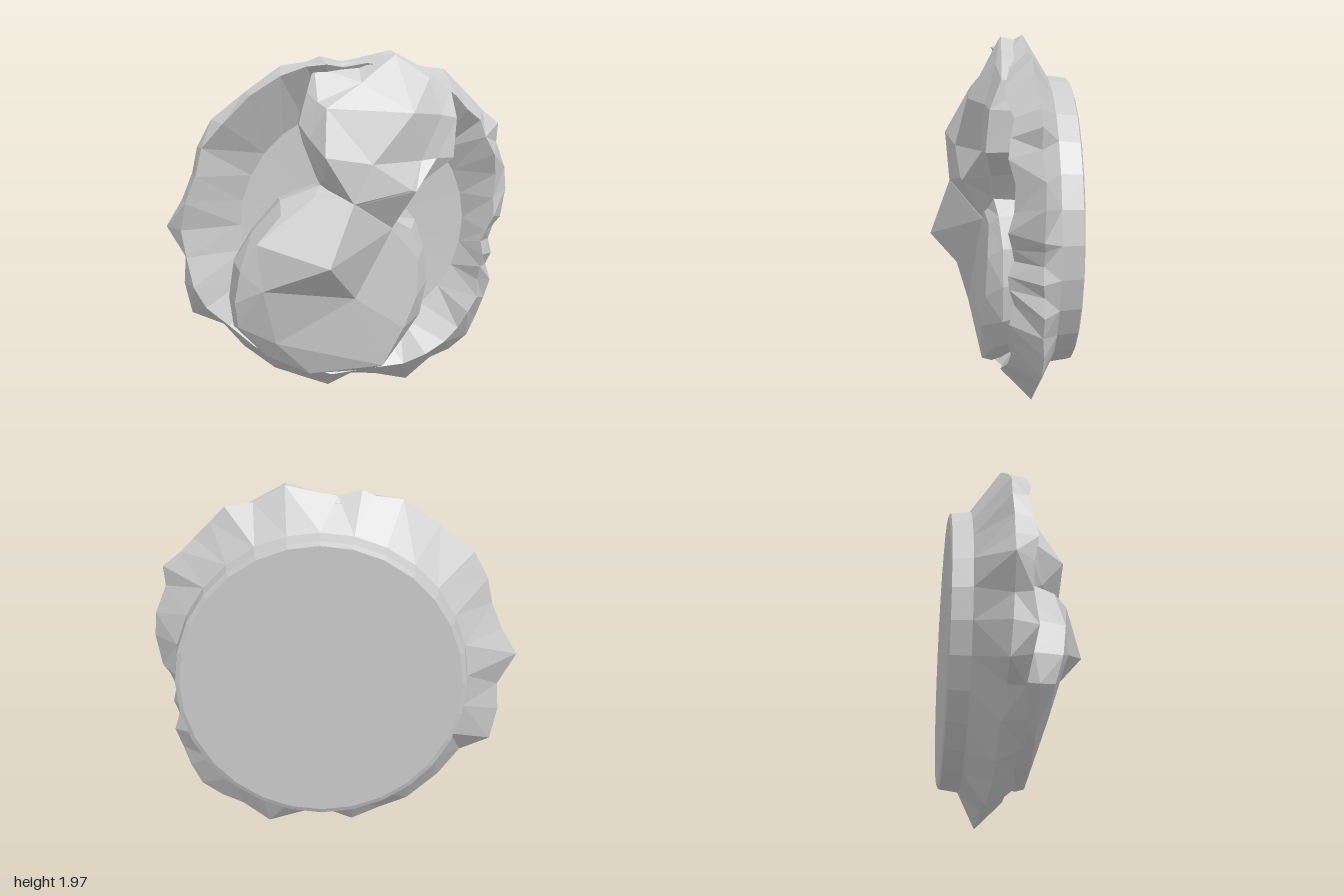
import * as THREE from 'three';

const material = new THREE.MeshStandardMaterial({ color: 0xcccccc, flatShading: true, side: THREE.DoubleSide });

// Joins two rings of [x, y, z] points, matching them by angle around a centre.
function zip(out, a, b, [cx, cy]) {
  const prepare = (ring) => {
    const p = ring.map((v) => ({ v, t: Math.atan2(v[1] - cy, v[0] - cx) })).sort((m, n) => m.t - n.t);
    p.push({ v: p[0].v, t: p[0].t + Math.PI * 2 });
    return p;
  };
  const A = prepare(a), B = prepare(b);
  const na = a.length > 1 ? a.length : 0, nb = b.length > 1 ? b.length : 0;
  let i = 0, j = 0;
  while (i < na || j < nb) {
    const stepA = j >= nb || (i < na && A[i].t + A[i + 1].t <= B[j].t + B[j + 1].t);
    if (stepA) out.push(...A[i].v, ...A[++i].v, ...B[j].v);
    else out.push(...A[i].v, ...B[j + 1].v, ...B[j++].v);
  }
}

// Builds a faceted shell from a sequence of rings; a one-point ring closes an end.
function shell(name, centre, rings) {
  const positions = [];
  for (let k = 0; k + 1 < rings.length; k++) zip(positions, rings[k], rings[k + 1], centre);
  const geometry = new THREE.BufferGeometry();
  geometry.setAttribute('position', new THREE.Float32BufferAttribute(positions, 3));
  geometry.computeVertexNormals();
  const mesh = new THREE.Mesh(geometry, material);
  mesh.name = name;
  return mesh;
}

// Ring shrunk toward a centre and set at one depth.
const shrink = (ring, [cx, cy], s, z) => ring.map(([x, y]) => [cx + (x - cx) * s, cy + (y - cy) * s, z]);

// Regular round ring at one depth.
const circle = (x, y, r, z, n = 28) => Array.from({ length: n }, (_, i) => {
  const a = (i / n) * Math.PI * 2;
  return [x + r * Math.cos(a), y + r * Math.sin(a), z];
});

function createDish() {
  const c = [0.03, 0.98];
  // Ruffled outer edge, clockwise from the top
  const edge = [
    [-0.2, 1.91], [-0.13, 1.94], [0, 1.91], [0.1, 1.93], [0.28, 1.97], [0.45, 1.88], [0.6, 1.86],
    [0.68, 1.78], [0.77, 1.69], [0.84, 1.62], [0.94, 1.54], [0.93, 1.43], [0.99, 1.28], [1, 1.15],
    [0.97, 0.98], [0.93, 0.93], [0.9, 0.85], [0.92, 0.76], [0.89, 0.69], [0.92, 0.59], [0.88, 0.48],
    [0.84, 0.37], [0.78, 0.25], [0.67, 0.17], [0.55, 0.12], [0.4, 0], [0.2, 0.05], [0.06, 0.06],
    [-0.08, 0], [-0.25, 0.07], [-0.4, 0.13], [-0.58, 0.28], [-0.7, 0.43], [-0.87, 0.5], [-0.91, 0.68],
    [-0.9, 0.83], [-1, 1.01], [-0.91, 1.16], [-0.85, 1.31], [-0.82, 1.45], [-0.74, 1.6], [-0.55, 1.75],
    [-0.35, 1.89],
  ];
  const n = edge.length;
  const outer = edge.map(([x, y], i) => [x, y, -0.12 - 0.05 * x + 0.02 * (y - 1) + (i % 3 - 1) * 0.005]);

  // Front crest of the rim: a smoothed copy of the edge, wider on the right
  const crest = edge.map(([x, y], i) => {
    const p = edge[(i + n - 1) % n], q = edge[(i + 1) % n];
    const dx = (p[0] + x + q[0]) / 3 - c[0], dy = (p[1] + y + q[1]) / 3 - c[1];
    const f = 0.935 - 0.05 * Math.cos(Math.atan2(dy, dx) + 0.6) + 0.012 * Math.sin(i * 2.3);
    return [c[0] + dx * f, c[1] + dy * f, 0.01 - 0.025 * x + 0.02 * Math.sin(i * 1.9)];
  });

  return shell('dish', c, [
    [[...c, -0.38]], circle(0.09, 0.95, 0.76, -0.38), circle(0.09, 0.95, 0.785, -0.37),
    circle(0.09, 0.95, 0.8, -0.26), outer, crest, circle(0.08, 0.98, 0.66, -0.18), [[...c, -0.21]],
  ]);
}

function createLowerChunk() {
  const c = [-0.15, 0.83];
  const outline = [
    [0.48, 0.65, 0], [0.46, 0.85, 0], [0.4, 1.02, 0.02], [0.29, 1.14, 0.05], [0, 1.2, 0.1],
    [-0.16, 1.24, 0.08], [-0.38, 1.16, 0.07], [-0.54, 0.98, 0.05], [-0.64, 0.82, 0.04],
    [-0.67, 0.62, 0.05], [-0.65, 0.46, 0.08], [-0.47, 0.27, 0.08], [-0.22, 0.15, 0.08],
    [0.12, 0.14, 0.04], [0.3, 0.27, 0.03], [0.44, 0.45, 0],
  ];
  const shoulder = [
    [0.4, 0.58, 0.09], [0.41, 0.8, 0.08], [0.37, 0.97, 0.07], [0.22, 1.06, 0.1], [-0.02, 1.18, 0.24],
    [-0.2, 1.19, 0.17], [-0.39, 1.1, 0.2], [-0.62, 0.8, 0.22], [-0.65, 0.62, 0.2], [-0.63, 0.47, 0.16],
    [-0.42, 0.36, 0.15], [0.2, 0.18, 0.1], [0.32, 0.4, 0.11],
  ];
  const ridge = [
    [0.25, 0.98, 0.1], [0, 1.16, 0.27], [-0.53, 0.95, 0.24], [-0.5, 0.69, 0.25], [0.03, 0.6, 0.15],
  ];
  return shell('lowerChunk', c, [
    [[...c, -0.2]], shrink(outline, c, 0.92, -0.17), outline, shoulder, ridge, [[...c, 0.38]],
  ]);
}

function createUpperChunk() {
  const c = [0.11, 1.37];
  const outline = [
    [0.6, 1.38, 0.1], [0.62, 1.6, 0.08], [0.6, 1.75, 0.02], [0.48, 1.85, 0.01], [0.28, 1.96, 0],
    [0.08, 1.91, -0.05], [-0.17, 1.89, -0.03], [-0.22, 1.75, 0.03], [-0.27, 1.58, 0.06],
    [-0.24, 1.46, 0.08], [-0.16, 1.25, 0.1], [0, 1.12, 0.2], [0.25, 0.99, 0.1], [0.34, 1.12, 0.06],
    [0.43, 1.24, 0.06],
  ];
  // Upper facets around the crown
  const crown = [
    [0.5, 1.38, 0.11], [0.53, 1.62, 0.1], [0.47, 1.82, 0.04], [0.28, 1.95, 0.01], [0.08, 1.8, 0.06],
    [-0.17, 1.7, 0.1], [-0.22, 1.5, 0.13], [-0.15, 1.28, 0.17], [0, 1.15, 0.26], [0.36, 1.21, 0.21],
  ];
  const ridge = [
    [0.41, 1.37, 0.12], [0.35, 1.64, 0.18], [-0.13, 1.67, 0.15], [-0.16, 1.42, 0.29],
    [0, 1.16, 0.27], [0.33, 1.22, 0.22],
  ];
  return shell('upperChunk', c, [
    [[...c, -0.2]], shrink(outline, c, 0.95, -0.13), outline, crown, ridge, [[...c, 0.24]],
  ]);
}

export function createModel() {
  const group = new THREE.Group();
  group.name = 'filledDish';
  group.add(createDish(), createLowerChunk(), createUpperChunk());
  return group;
}
